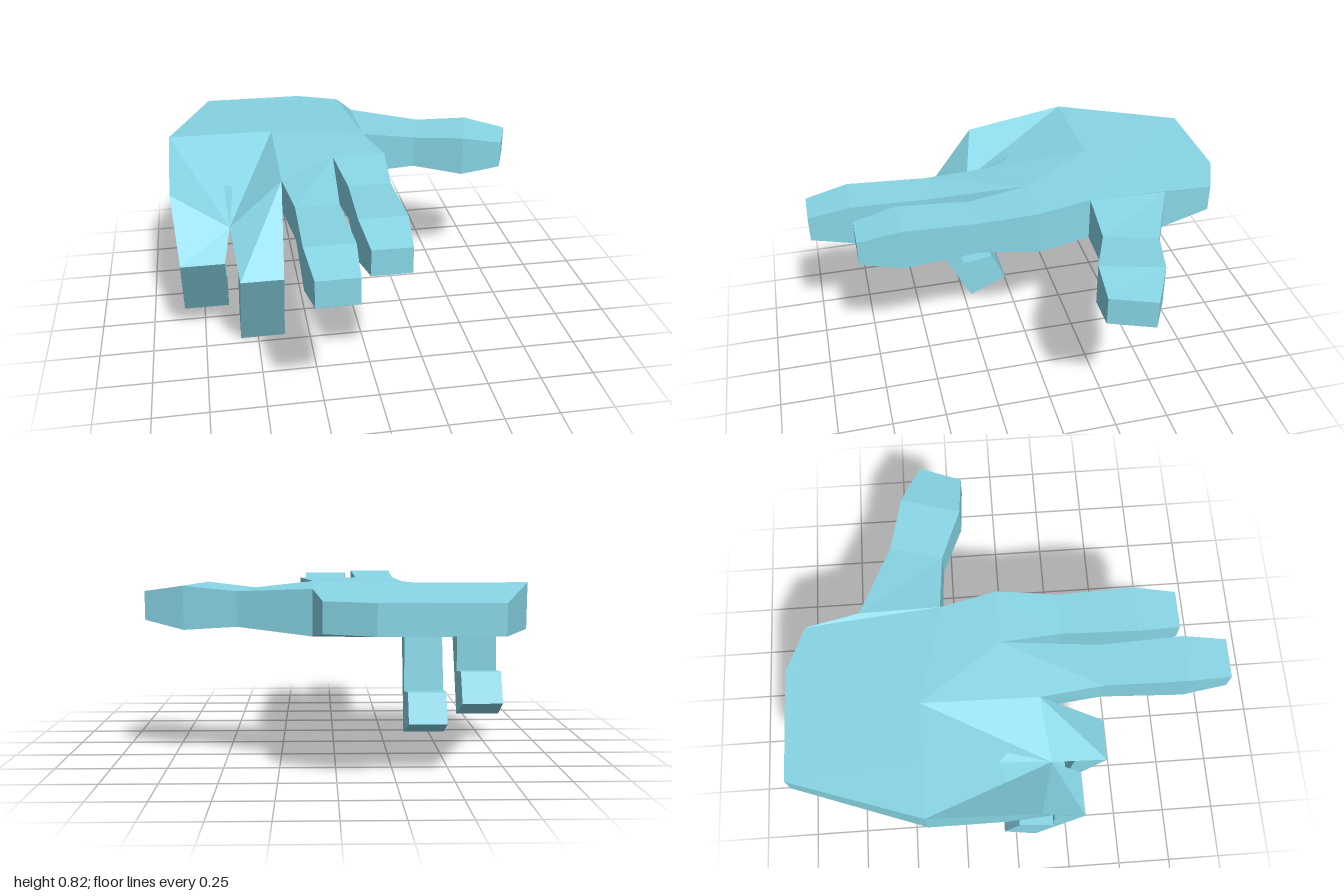
import * as THREE from 'three';

const material = new THREE.MeshStandardMaterial({ color: 0x88d6e6, flatShading: true, side: THREE.DoubleSide });

// Mesh from convex polygons, each listed counter-clockwise from outside
function facets(name, polygons) {
  const pos = [];
  for (const p of polygons) {
    for (let i = 1; i < p.length - 1; i++) pos.push(...p[0], ...p[i], ...p[i + 1]);
  }
  const geometry = new THREE.BufferGeometry();
  geometry.setAttribute('position', new THREE.Float32BufferAttribute(pos, 3));
  geometry.computeVertexNormals();
  const mesh = new THREE.Mesh(geometry, material);
  mesh.name = name;
  return mesh;
}

// Four-sided sections joined end to end, capped at the tip
function loft(name, sections) {
  const polys = [];
  for (let s = 0; s < sections.length - 1; s++) {
    const a = sections[s], b = sections[s + 1];
    for (let i = 0; i < 4; i++) {
      const j = (i + 1) % 4;
      polys.push([a[i], a[j], b[j], b[i]]);
    }
  }
  polys.push(sections[sections.length - 1]);
  return facets(name, polys);
}

// Upright section between two plan points [x, z]
const upright = ([ax, az], [bx, bz], lo, hi) =>
  [[ax, lo, az], [bx, lo, bz], [bx, hi, bz], [ax, hi, az]];

// Section of a curled finger from inner and outer [z, y] points
const curl = (x0, x1, [zi, yi], [zo, yo]) =>
  [[x0, yi, zi], [x1, yi, zi], [x1, yo, zo], [x0, yo, zo]];

// Horizontal polygon, triangulated and turned to face up or down
function sheet(points, up) {
  const plan = points.map(p => new THREE.Vector2(p[0], p[2]));
  return THREE.ShapeUtils.triangulateShape(plan, []).map(t => {
    const [a, b, c] = t.map(i => points[i]);
    const ny = (b[2] - a[2]) * (c[0] - a[0]) - (b[0] - a[0]) * (c[2] - a[2]);
    return (ny > 0) === up ? [a, b, c] : [a, c, b];
  });
}

export function createModel() {
  const group = new THREE.Group();
  group.name = 'hand';

  // Palm outline from the outer edge round the wrist to the index base: x, z, low, high
  const outline = [
    [-0.86, -0.4, 0.61, 0.82], [-0.65, -1, 0.65, 0.78], [-0.15, -1, 0.65, 0.78],
    [0.06, -0.91, 0.65, 0.78], [0.1, -0.66, 0.61, 0.81], [0.1, -0.29, 0.61, 0.82],
    [0.16, -0.03, 0.61, 0.82], [-0.09, -0.03, 0.61, 0.82],
  ];
  const top = outline.map(([x, z, , hi]) => [x, hi, z]);
  const low = outline.map(([x, z, lo]) => [x, lo, z]);

  // Knuckle corners shared by palm and curled fingers
  const foldOuter = top[0], foldMid = [-0.6, 0.82, -0.4], foldInner = [-0.35, 0.82, -0.4];
  const pinkyTop = [-0.86, 0.74, 0.1], midTop = [-0.6, 0.59, 0.17], ringTop = [-0.35, 0.79, 0.13];
  const pinkyLow = [-0.86, 0.61, -0.05], midLow = [-0.6, 0.6, 0.01], ringLow = [-0.35, 0.61, 0.07];

  const palm = [
    ...sheet([...top, ringTop, foldInner, foldMid], true),
    ...sheet([...low, ringLow, midLow, pinkyLow], false),
    // Back of the hand folding down to the curled fingers
    [foldOuter, midTop, foldMid], [foldOuter, pinkyTop, midTop],
    [foldMid, midTop, foldInner], [foldInner, midTop, ringTop],
    // Outer edge
    [low[0], pinkyLow, pinkyTop, top[0]],
  ];
  for (const i of [0, 1, 2, 3, 5]) palm.push([low[i + 1], low[i], top[i], top[i + 1]]);
  group.add(facets('palm', palm));

  // Straight fingers
  group.add(loft('middleFinger', [
    [ringLow, low[7], top[7], ringTop],
    upright([-0.32, 0.42], [-0.125, 0.42], 0.635, 0.795),
    upright([-0.33, 0.8], [-0.115, 0.8], 0.61, 0.81),
    upright([-0.31, 1], [-0.13, 1], 0.65, 0.77),
  ]));
  group.add(loft('indexFinger', [
    [low[7], low[6], top[6], top[7]],
    upright([-0.06, 0.25], [0.135, 0.25], 0.635, 0.795),
    upright([-0.075, 0.6], [0.14, 0.6], 0.61, 0.81),
    upright([-0.055, 0.8], [0.12, 0.8], 0.65, 0.77),
  ]));

  // Thumb
  group.add(loft('thumb', [
    [low[5], low[4], top[4], top[5]],
    upright([0.36, -0.27], [0.43, -0.51], 0.635, 0.79),
    upright([0.59, -0.175], [0.67, -0.45], 0.615, 0.81),
    upright([0.78, -0.16], [0.855, -0.355], 0.65, 0.78),
  ]));

  // Curled fingers
  group.add(loft('ringFinger', [
    [midLow, ringLow, ringTop, midTop],
    curl(-0.575, -0.38, [0.29, 0.52], [0.44, 0.45]),
    curl(-0.583, -0.37, [0.26, 0.21], [0.21, 0]),
    curl(-0.575, -0.38, [0.09, 0.23], [0.02, 0.08]),
  ]));
  group.add(loft('littleFinger', [
    [pinkyLow, midLow, midTop, pinkyTop],
    curl(-0.835, -0.635, [0.165, 0.55], [0.31, 0.48]),
    curl(-0.842, -0.628, [0.17, 0.33], [0.09, 0.12]),
    curl(-0.835, -0.635, [0.01, 0.35], [-0.06, 0.2]),
  ]));

  // Small skin fold between the curled knuckles
  const a = [-0.7, 0.675, -0.04], b = [-0.61, 0.695, -0.07], c = [-0.57, 0.7, -0.03], d = [-0.63, 0.66, -0.02];
  group.add(facets('knuckleFold', [
    [a, d, b], [d, c, b], [a, midTop, d], [d, midTop, c], [c, midTop, b], [b, midTop, a],
  ]));
  return group;
}
